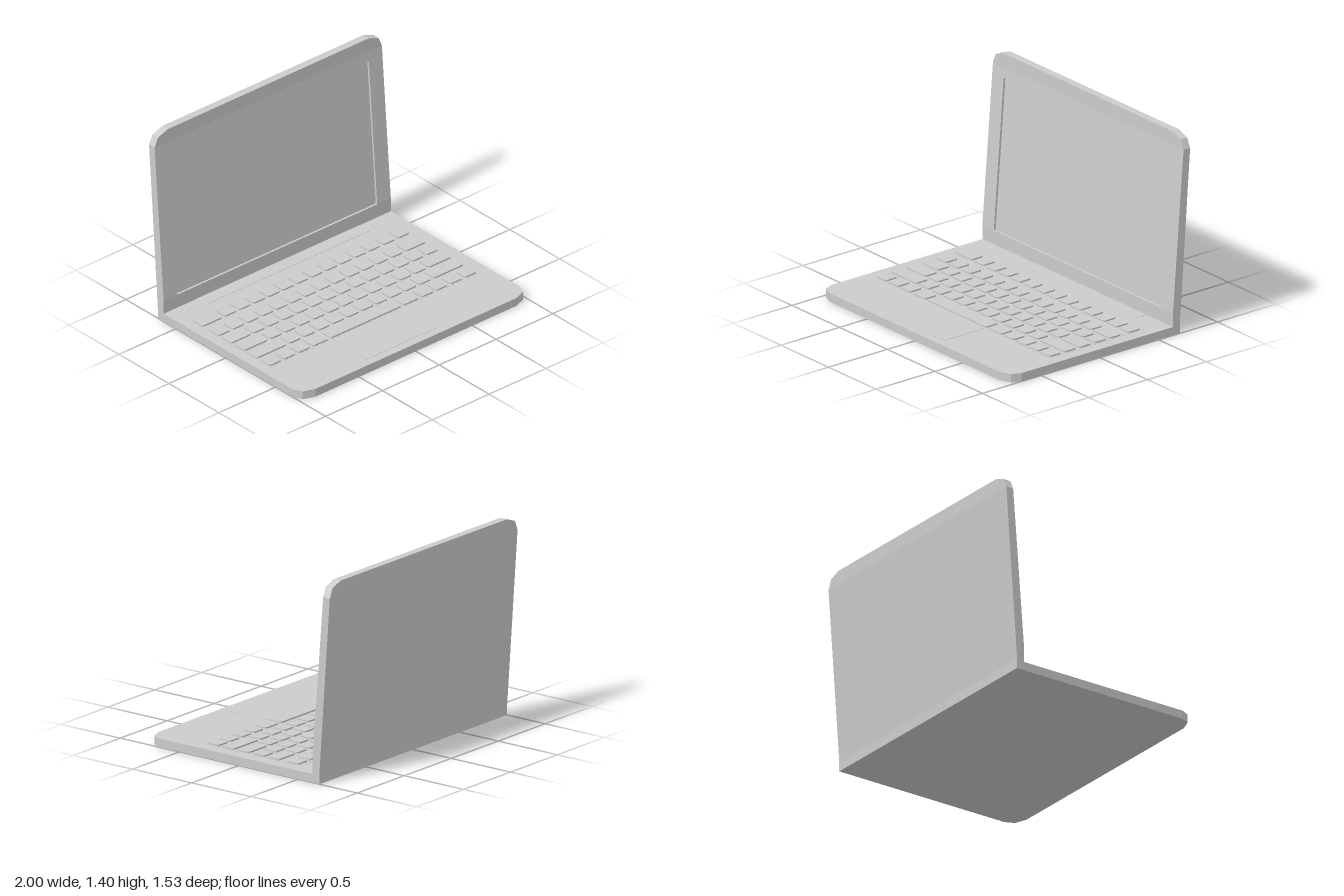
import * as THREE from 'three';

const grey = new THREE.MeshStandardMaterial({ color: 0xcccccc, flatShading: true });

function polygon(points) {
  return new THREE.Shape(points.map(([x, y]) => new THREE.Vector2(x, y)));
}

function rect(x0, x1, y0, y1) {
  return polygon([[x0, y0], [x1, y0], [x1, y1], [x0, y1]]);
}

function roundedRect(x0, x1, y0, y1, r) {
  const s = new THREE.Shape();
  s.absarc(x1 - r, y1 - r, r, 0, Math.PI / 2);
  s.absarc(x0 + r, y1 - r, r, Math.PI / 2, Math.PI);
  s.absarc(x0 + r, y0 + r, r, Math.PI, Math.PI * 1.5);
  s.absarc(x1 - r, y0 + r, r, Math.PI * 1.5, Math.PI * 2);
  s.closePath();
  return s;
}

function addMesh(parent, name, geometry) {
  const mesh = new THREE.Mesh(geometry, grey);
  mesh.name = name;
  parent.add(mesh);
  return mesh;
}

// Horizontal slab: outline drawn in (x, -z), standing between heights y0 and y1
function addPlate(parent, name, shape, y0, y1) {
  const geometry = new THREE.ExtrudeGeometry(shape, { depth: y1 - y0, bevelEnabled: false, curveSegments: 3 });
  geometry.rotateX(-Math.PI / 2).translate(0, y0, 0);
  return addMesh(parent, name, geometry);
}

// Depth of the leaning lid's faces at height y
const lean = (y, y0, z0, z1) => THREE.MathUtils.lerp(z0, z1, THREE.MathUtils.clamp((y - y0) / (1.3 - y0), 0, 1));
const lidFront = (y) => lean(y, 0.16, -0.622, -0.712);
const lidBack = (y) => lean(y, 0.07, -0.68, -0.768);

// Slab drawn in (x, y) and fitted between the lid's back and front faces
function addLidPart(parent, name, shape, recess = 0) {
  const geometry = new THREE.ExtrudeGeometry(shape, { depth: 1, bevelEnabled: false });
  const p = geometry.attributes.position;
  for (let i = 0; i < p.count; i++) {
    const y = p.getY(i);
    p.setZ(i, p.getZ(i) > 0.5 ? lidFront(y) - recess : lidBack(y));
  }
  geometry.computeVertexNormals();
  return addMesh(parent, name, geometry);
}

function buildBase() {
  const base = new THREE.Group();
  base.name = 'base';

  // Body with clipped front corners
  addPlate(base, 'body', polygon([
    [-1, 0.622], [-1, -0.67], [-0.97, -0.735], [-0.885, -0.766],
    [0.885, -0.766], [0.97, -0.735], [1, -0.67], [1, 0.622],
  ]), 0, 0.06);

  // Thin plates lying on the deck
  addPlate(base, 'keyboardPlate', rect(-0.93, 0.915, -0.36, 0.445), 0.058, 0.061);
  addPlate(base, 'touchpad', rect(-0.378, 0.235, -0.704, -0.362), 0.058, 0.062);
  addPlate(base, 'hingePanel', rect(-0.722, 0.72, 0.524, 0.63), 0.058, 0.062);
  return base;
}

function buildKeyboard() {
  const keyboard = new THREE.Group();
  keyboard.name = 'keyboard';
  const ones = (n) => Array(n).fill(1);

  // Each row: centre z and relative key widths
  const rows = [
    [-0.372, [1.55, ...ones(13)]],
    [-0.212, [...ones(13), 1.55]],
    [-0.085, [1.55, ...ones(13)]],
    [0.044, [1.81, ...ones(11), 1.74]],
    [0.171, [2.27, ...ones(10), 2.27]],
    [0.3, [1, 1, 1, 1.25, 5.05, 1.25, ...ones(4)]],
  ];
  const left = -0.932, right = 0.914, gap = 0.01;
  for (const [z, widths] of rows) {
    const unit = (right - left) / widths.reduce((a, b) => a + b, 0);
    let x = left;
    for (const w of widths) {
      const shape = roundedRect(x + gap, x + w * unit - gap, -z - 0.052, -z + 0.052, 0.018);
      addPlate(keyboard, 'key', shape, 0.058, 0.072);
      x += w * unit;
    }
  }
  return keyboard;
}

function buildLid() {
  const lid = new THREE.Group();
  lid.name = 'lid';

  // Upright lower strip, split where the back face starts to lean
  addLidPart(lid, 'hinge', rect(-1, 1, 0, 0.07));
  addLidPart(lid, 'lowerBezel', rect(-1, 1, 0.07, 0.16));

  // Leaning frame around the screen
  addLidPart(lid, 'bezel', polygon([
    [-1, 0.16], [-0.88, 0.16], [-0.88, 1.225], [0.88, 1.225],
    [0.88, 0.16], [1, 0.16], [1, 1.3], [-1, 1.3],
  ]));
  addLidPart(lid, 'screen', rect(-0.88, 0.88, 0.16, 1.225), 0.015);

  // Top edge with clipped corners
  addLidPart(lid, 'topEdge', polygon([
    [-1, 1.3], [1, 1.3], [0.97, 1.366], [0.885, 1.397], [-0.885, 1.397], [-0.97, 1.366],
  ]));
  return lid;
}

export function createModel() {
  const laptop = new THREE.Group();
  laptop.name = 'laptop';
  laptop.add(buildBase(), buildKeyboard(), buildLid());
  return laptop;
}
